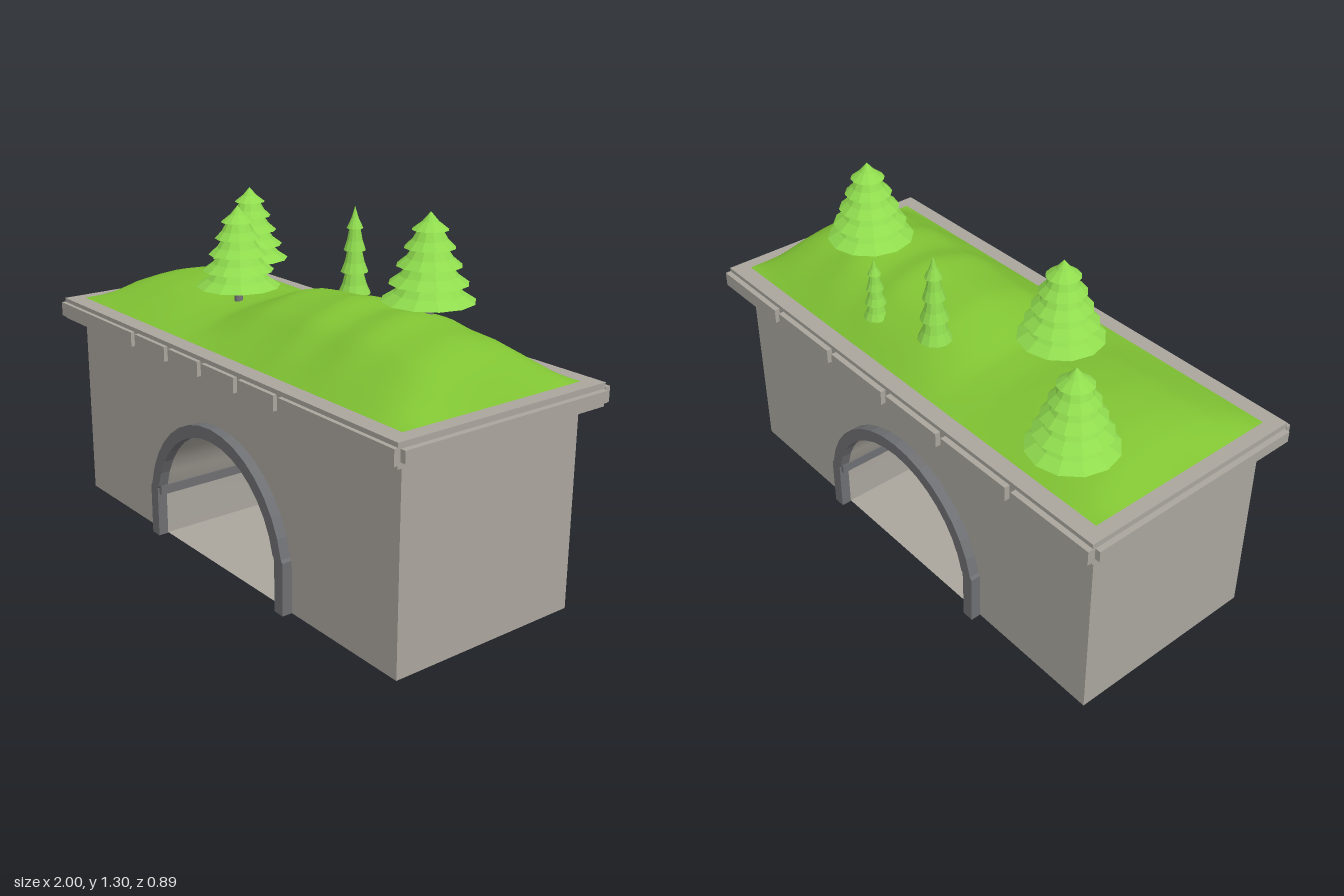
import * as THREE from 'three';

const mat = (name, color, extra = {}) => new THREE.MeshStandardMaterial({ name, color, ...extra });

export function createModel() {
  const model = new THREE.Group();
  model.name = 'tunnelHill';
  const stone = mat('stone', 0xaaa69e);
  const wallStone = stone;
  wallStone.side = THREE.DoubleSide;
  const dark = mat('darkStone', 0x6e6f72);
  const grass = mat('grass', 0x80c333, { side: THREE.DoubleSide });
  const leaf = mat('foliage', 0x8fdb4e, { flatShading: true });
  const trunkMat = mat('trunkGrey', 0x77777a);

  const add = (name, geo, material, x = 0, y = 0, z = 0, parent = model) => {
    const m = new THREE.Mesh(geo, material);
    m.name = name;
    m.position.set(x, y, z);
    parent.add(m);
    return m;
  };
  const box = (name, x0, x1, y0, y1, z0, z1, material) =>
    add(name, new THREE.BoxGeometry(x1 - x0, y1 - y0, z1 - z0), material,
      (x0 + x1) / 2, (y0 + y1) / 2, (z0 + z1) / 2);

  const W = 0.93, D = 0.37, H = 0.71, TOP = 0.79;

  // Arch outline from the left foot over to the right foot
  const arch = (r) => {
    const pts = [new THREE.Vector2(-r, 0)];
    const n = 16, a0 = Math.asin(0.08 / r);
    pts.push(new THREE.Vector2(-r, 0.19));
    for (let i = 0; i <= n; i++) {
      const a = Math.PI - a0 - (Math.PI - 2 * a0) * i / n;
      pts.push(new THREE.Vector2(r * Math.cos(a), 0.12 + r * Math.sin(a)));
    }
    pts.push(new THREE.Vector2(r, 0.19), new THREE.Vector2(r, 0));
    return pts;
  };
  const inner = arch(0.365), outer = arch(0.41);

  // Walls: long sides with the tunnel opening, plain ends, open underneath
  const wall = new THREE.Shape([
    new THREE.Vector2(-W, 0), ...inner, new THREE.Vector2(W, 0),
    new THREE.Vector2(W, H), new THREE.Vector2(-W, H)]);
  const ring = new THREE.Shape([...outer, ...inner.slice().reverse()]);
  for (const s of [1, -1]) {
    const side = new THREE.Group();
    side.name = s > 0 ? 'frontSide' : 'backSide';
    side.rotation.y = s > 0 ? 0 : Math.PI;
    model.add(side);
    add('longWall', new THREE.ShapeGeometry(wall), wallStone, 0, 0, D, side);
    add('archRing', new THREE.ExtrudeGeometry(ring, { depth: 0.038, bevelEnabled: false }),
      dark, 0, 0, D, side);
    const end = add('endWall', new THREE.PlaneGeometry(2 * D, H), wallStone, s * W, H / 2, 0);
    end.rotation.y = s * Math.PI / 2;
  }

  // Tunnel lining, seen from inside
  const lining = new THREE.PlaneGeometry(1, 1, inner.length - 1, 1);
  const lp = lining.attributes.position;
  for (let i = 0; i < lp.count; i++) {
    const p = inner[i % inner.length];
    lp.setXYZ(i, p.x, p.y, i < inner.length ? D : -D);
  }
  lining.computeVertexNormals();
  const liningMat = mat('liningStone', 0xaaa69e);
  add('tunnelLining', lining, liningMat);
  const floor = add('tunnelFloor', new THREE.PlaneGeometry(0.73, 2 * D), wallStone, 0, 0.003, 0);
  floor.rotation.x = -Math.PI / 2;
  for (const s of [1, -1])
    box('tunnelLedge', s * 0.363 - 0.011, s * 0.363 + 0.011, 0.165, 0.2, -0.4, 0.4, dark);

  // Ceiling lamp
  add('lampRim', new THREE.CylinderGeometry(0.08, 0.08, 0.02, 20, 1), dark, 0, 0.472, 0);
  add('lampLens', new THREE.CylinderGeometry(0.055, 0.055, 0.006, 20), liningMat, 0, 0.461, 0);

  // Parapet slab with raised panels
  box('slab', -0.98, 0.98, H, TOP, -0.43, 0.43, stone);
  const panels = (gaps, z0, z1) => {
    const e = [-0.995, ...gaps, 0.995];
    for (let i = 0; i < e.length - 1; i++)
      box('slabPanel', e[i] + 0.013, e[i + 1] - 0.013, 0.722, 0.775, z0, z1, stone);
  };
  panels([-0.435, -0.21, 0, 0.213, 0.43], 0.43, 0.445);
  panels([-0.635, -0.3, -0.01, 0.3, 0.63], -0.45, -0.43);
  for (const s of [1, -1])
    box('endPanel', s * 0.99 - 0.01, s * 0.99 + 0.01, 0.73, 0.77, -0.42, 0.42, stone);

  // Grassy hill: ridge height along x, shaped by a cross-section along z
  const lerp = (t, x) => {
    let i = 0;
    while (i < t.length - 2 && x > t[i + 1][0]) i++;
    const [a, b] = [t[i], t[i + 1]];
    return a[1] + (b[1] - a[1]) * THREE.MathUtils.clamp((x - a[0]) / (b[0] - a[0]), 0, 1);
  };
  const ridge = [[-0.93, 0], [-0.86, 0.07], [-0.75, 0.1], [-0.6, 0.11], [-0.45, 0.1], [-0.33, 0.083],
    [-0.2, 0.085], [-0.1, 0.13], [0, 0.165], [0.15, 0.175], [0.27, 0.195], [0.38, 0.172],
    [0.52, 0.195], [0.62, 0.172], [0.75, 0.16], [0.83, 0.125], [0.88, 0.075], [0.93, 0]];
  const section = [[-D, 0], [-0.28, 0.42], [-0.18, 0.78], [-0.08, 0.95], [0, 1], [0.08, 0.92],
    [0.18, 0.74], [0.28, 0.36], [D, 0]];
  const height = (x, z) => TOP + 0.002 + lerp(ridge, x) * lerp(section, z);
  const hill = new THREE.PlaneGeometry(2 * W, 2 * D, 48, 20).rotateX(-Math.PI / 2);
  const hp = hill.attributes.position;
  for (let i = 0; i < hp.count; i++) hp.setY(i, height(hp.getX(i), hp.getZ(i)));
  hill.computeVertexNormals();
  add('hill', hill, grass);

  // Fir trees: flared tiers turned as one profile
  const tree = (x, z, y0, y1, r, tiers, topR, trunkR) => {
    const g = new THREE.Group();
    g.name = 'firTree';
    g.position.set(x, 0, z);
    model.add(g);
    const h = (y1 - y0) / tiers;
    const pts = [new THREE.Vector2(0, y0 + h * 0.12)];
    for (let i = 0; i < tiers; i++) {
      const rad = r + (topR - r) * i / (tiers - 1);
      const neck = i === tiers - 1 ? 0 : (r + (topR - r) * (i + 1) / (tiers - 1)) * 0.62;
      const y = y0 + h * i;
      pts.push(new THREE.Vector2(rad, y));
      pts.push(new THREE.Vector2(neck + (rad - neck) * 0.45, y + h * 0.45));
      pts.push(new THREE.Vector2(neck, y + h * (neck ? 1.08 : 1)));
    }
    add('foliage', new THREE.LatheGeometry(pts, 12), leaf, 0, 0, 0, g);
    const base = height(x, z) - 0.02, top = y0 + h;
    add('trunk', new THREE.CylinderGeometry(trunkR, trunkR, Math.max(top - base, 0.02), 8),
      trunkMat, 0, (top + base) / 2, 0, g);
  };
  tree(-0.715, -0.265, 0.903, 1.187, 0.15, 5, 0.06, 0.016);
  tree(-0.295, 0.08, 0.925, 1.215, 0.152, 5, 0.06, 0.016);
  tree(0.52, -0.095, 1.012, 1.298, 0.155, 5, 0.06, 0.016);
  tree(-0.015, -0.23, 0.905, 1.22, 0.06, 4, 0.03, 0.01);
  tree(0.26, -0.27, 0.87, 1.095, 0.045, 4, 0.024, 0.008);

  return model;
}
